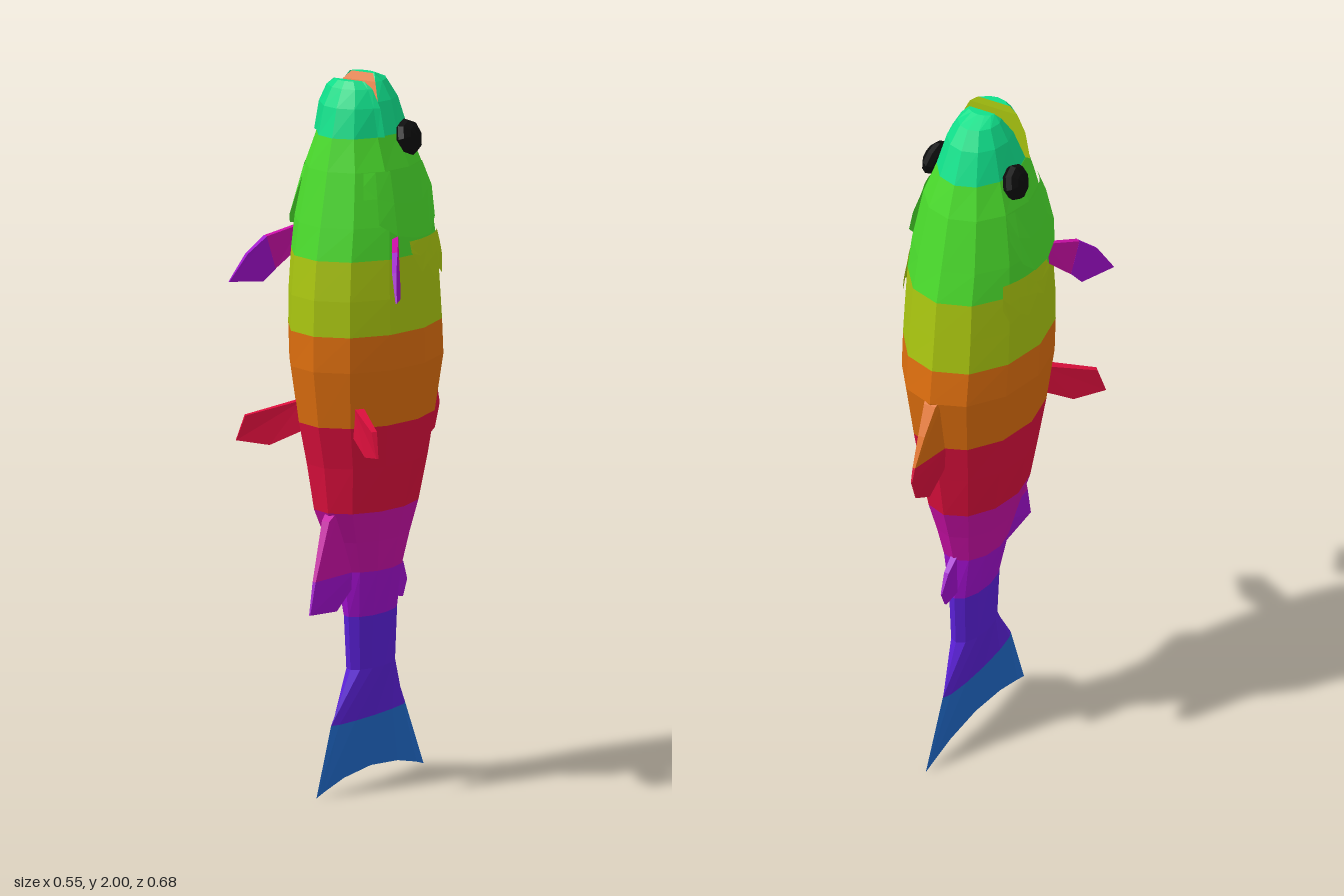
import * as THREE from 'three';

const paint = (name, color) => {
  const m = new THREE.MeshStandardMaterial({ color, flatShading: true, side: THREE.DoubleSide });
  m.name = name;
  return m;
};
const M = {
  teal: paint('teal', 0x10df8a), green: paint('green', 0x4adb2c), yellow: paint('yellow', 0xa9c510),
  orange: paint('orange', 0xdd6e0e), red: paint('red', 0xdb0f3c), magenta: paint('magenta', 0xc80fa5),
  violet: paint('violet', 0xa00fcc), indigo: paint('indigo', 0x5a20d6), blue: paint('blue', 0x2069c8),
  black: paint('black', 0x0c0c0c),
};
const SIDES = 12;
const V = (x, y, z) => new THREE.Vector3(x, y, z);

// Body cross-sections from neck to tail: y, half width, belly z, back z
const BODY = [
  [1.84, 0.115, 0.21, -0.10], [1.75, 0.15, 0.235, -0.135], [1.6, 0.178, 0.27, -0.175],
  [1.51, 0.185, 0.29, -0.2], [1.4, 0.19, 0.302, -0.213], [1.3, 0.192, 0.305, -0.225],
  [1.2, 0.19, 0.305, -0.238], [1.04, 0.168, 0.28, -0.21], [0.92, 0.15, 0.25, -0.185],
  [0.79, 0.125, 0.23, -0.16], [0.7, 0.1, 0.185, -0.13], [0.61, 0.078, 0.145, -0.105],
  [0.48, 0.05, 0.125, -0.1], [0.33, 0.045, 0.115, -0.092], [0.19, 0.022, 0.215, -0.165],
  [0, 0.003, 0.29, -0.26],
];

function sectionPoint([y, hx, zf, zb], a, grow = 0) {
  const notch = y === 0 ? 0.045 * Math.sin(a) ** 2 : 0; // hollow tail edge
  return V((hx + grow) * Math.sin(a), y + notch, (zf + zb) / 2 + ((zf - zb) / 2 + grow) * Math.cos(a));
}

// A ring of points; clip moves z to one side of a plane
function ring(section, clip = z => z) {
  return Array.from({ length: SIDES }, (_, i) => {
    const p = sectionPoint(section, (i / SIDES) * Math.PI * 2);
    p.z = clip(p.z);
    return p;
  });
}

function meshOf(name, points, mat) {
  const g = new THREE.BufferGeometry().setFromPoints(points);
  g.computeVertexNormals();
  const mesh = new THREE.Mesh(g, mat);
  mesh.name = name;
  return mesh;
}

// Skin between rows listed from top to bottom, over columns from..to
function loft(name, rows, mat, from = 0, to = SIDES, cap = false) {
  const out = [];
  const n = rows[0].length;
  for (let r = 0; r < rows.length - 1; r++) {
    for (let c = from; c < to; c++) {
      const i = (c + n) % n, j = (c + 1 + n) % n;
      const a = rows[r][i], b = rows[r][j], e = rows[r + 1][j], d = rows[r + 1][i];
      out.push(d, e, b, d, b, a);
    }
  }
  if (cap) for (let i = 1; i < n - 1; i++) out.push(rows[0][0], rows[0][i], rows[0][i + 1]);
  return meshOf(name, out, mat);
}

// Flat fin from an outline of [x, y, z, halfThickness]
function fin(name, outline, mat) {
  const pts = outline.map(p => V(p[0], p[1], p[2]));
  const normal = V(0, 0, 0);
  for (let i = 1; i < pts.length - 1; i++) {
    normal.add(pts[i].clone().sub(pts[0]).cross(pts[i + 1].clone().sub(pts[0])));
  }
  normal.normalize();
  const top = pts.map((p, i) => p.clone().addScaledVector(normal, outline[i][3]));
  const low = pts.map((p, i) => p.clone().addScaledVector(normal, -outline[i][3]));
  const out = [];
  for (let i = 1; i < pts.length - 1; i++) out.push(top[0], top[i], top[i + 1], low[0], low[i + 1], low[i]);
  for (let i = 0; i < pts.length; i++) {
    const j = (i + 1) % pts.length;
    out.push(low[i], low[j], top[j], low[i], top[j], top[i]);
  }
  return meshOf(name, out, mat);
}

// Point lying just outside the body surface
function onBody(y, degrees, side, lift) {
  const k = BODY.findIndex((s, i) => i < BODY.length - 1 && y <= s[0] && y >= BODY[i + 1][0]);
  const t = (BODY[k][0] - y) / (BODY[k][0] - BODY[k + 1][0]);
  const s = BODY[k].map((v, i) => v + (BODY[k + 1][i] - v) * t);
  return sectionPoint(s, side * THREE.MathUtils.degToRad(degrees), lift);
}

// Raised flap: edge lists [angle, lower y]
function flap(name, edge, topY, lift, side, mat) {
  const rows = [0, 0.5, 1].map(t =>
    edge.map(([a, y]) => onBody(topY + (y - topY) * t, a, side, 0.002 + lift * t)));
  return loft(name, rows, mat, 0, edge.length - 1);
}

export function createModel() {
  const fish = new THREE.Group();
  fish.name = 'fish';

  // Striped body and tail
  const bands = [
    ['headBand', 0, 3, M.green], ['shoulderBand', 3, 5, M.yellow], ['middleBand', 5, 7, M.orange],
    ['rearBand', 7, 9, M.red], ['hipBand', 9, 11, M.magenta], ['tailRootBand', 11, 12, M.violet],
    ['tailStem', 12, 14, M.indigo], ['tailFin', 14, 15, M.blue],
  ];
  for (const [name, from, to, mat] of bands) {
    fish.add(loft(name, BODY.slice(from, to + 1).map(s => ring(s)), mat));
  }

  // Upper jaw with sloping palate
  const upper = [
    [[2.0, 0.04, 0.08, 0.03], 0.055], [[1.98, 0.06, 0.12, -0.025], 0.07],
    [[1.93, 0.088, 0.15, -0.06], 0.095], [BODY[0], 0.12],
  ].map(([s, cut]) => ring(s, z => Math.min(z, cut)));
  fish.add(loft('upperJaw', upper, M.teal, 2, 10, true));
  fish.add(loft('palate', upper, M.orange, -2, 2));

  // Lower jaw with coloured lining
  const lower = [
    [[1.99, 0.05, 0.145, 0.06], 0.122], [[1.97, 0.075, 0.16, 0.03], 0.12],
    [[1.92, 0.1, 0.187, -0.03], 0.12], [BODY[0], 0.12],
  ].map(([s, cut]) => ring(s, z => Math.max(z, cut)));
  fish.add(loft('lowerJaw', lower, M.teal, -3, 3, true));
  fish.add(loft('jawLining', lower, M.yellow, 3, 9));

  // Paired parts
  for (const s of [1, -1]) {
    const label = s > 0 ? 'left' : 'right';
    const mirror = pts => pts.map(([x, y, z, t]) => [x * s, y, z, t]);

    const eye = new THREE.Mesh(new THREE.SphereGeometry(0.052, 8, 6).rotateZ(Math.PI / 2), M.black);
    eye.name = label + 'Eye';
    eye.scale.x = 0.55;
    eye.rotation.z = s * 0.3;
    eye.position.set(s * 0.127, 1.825, 0.018);
    fish.add(eye);

    fish.add(flap(label + 'GillCover',
      [[38, 1.68], [50, 1.61], [65, 1.575], [82, 1.56], [98, 1.56], [110, 1.6], [120, 1.68]],
      1.75, 0.012, s, M.green));
    fish.add(flap(label + 'GillFringe',
      [[78, 1.52], [88, 1.46], [95, 1.48], [104, 1.43], [112, 1.45], [120, 1.43], [126, 1.48]],
      1.55, 0.006, s, M.yellow));

    fish.add(fin(label + 'PectoralFinRoot', mirror([[0.155, 1.57, 0.13, 0.008],
      [0.21, 1.545, 0.22, 0.008], [0.2, 1.45, 0.19, 0.008], [0.155, 1.51, 0.13, 0.008]]), M.magenta));
    fish.add(fin(label + 'PectoralFinTip', mirror([[0.21, 1.545, 0.22, 0.008],
      [0.24, 1.5, 0.27, 0.006], [0.272, 1.425, 0.31, 0.002], [0.222, 1.415, 0.215, 0.004],
      [0.2, 1.45, 0.19, 0.008]]), M.violet));
    fish.add(fin(label + 'PelvicFin', mirror([[0.09, 1.1, 0.22, 0.014], [0.21, 1.06, 0.325, 0.008],
      [0.23, 0.99, 0.34, 0.003], [0.16, 0.975, 0.28, 0.008], [0.08, 1.02, 0.215, 0.014]]), M.red));
  }

  // Back fins
  fish.add(fin('dorsalFinUpper', [[0, 1.22, -0.2, 0.03], [0, 1.195, -0.238, 0.018],
    [0, 1.12, -0.285, 0.01], [0, 1.04, -0.327, 0.004], [0, 1.04, -0.18, 0.03]], M.orange));
  fish.add(fin('dorsalFinLower', [[0, 1.04, -0.18, 0.03], [0, 1.04, -0.327, 0.004],
    [0, 1.0, -0.34, 0.002], [0, 0.935, -0.315, 0.002], [0, 0.9, -0.245, 0.004],
    [0, 0.97, -0.18, 0.02]], M.red));
  fish.add(fin('smallBackFin', [[0, 0.63, -0.09, 0.01], [0, 0.59, -0.145, 0.007],
    [0, 0.535, -0.173, 0.002], [0, 0.49, -0.15, 0.003], [0, 0.505, -0.08, 0.01]], M.violet));

  // Belly fin
  fish.add(fin('analFinUpper', [[0, 0.8, 0.2, 0.02], [0, 0.77, 0.243, 0.012],
    [0, 0.61, 0.302, 0.005], [0, 0.61, 0.12, 0.02]], M.magenta));
  fish.add(fin('analFinLower', [[0, 0.61, 0.12, 0.02], [0, 0.61, 0.302, 0.005],
    [0, 0.52, 0.325, 0.002], [0, 0.508, 0.19, 0.003], [0, 0.57, 0.12, 0.015]], M.violet));

  return fish;
}
